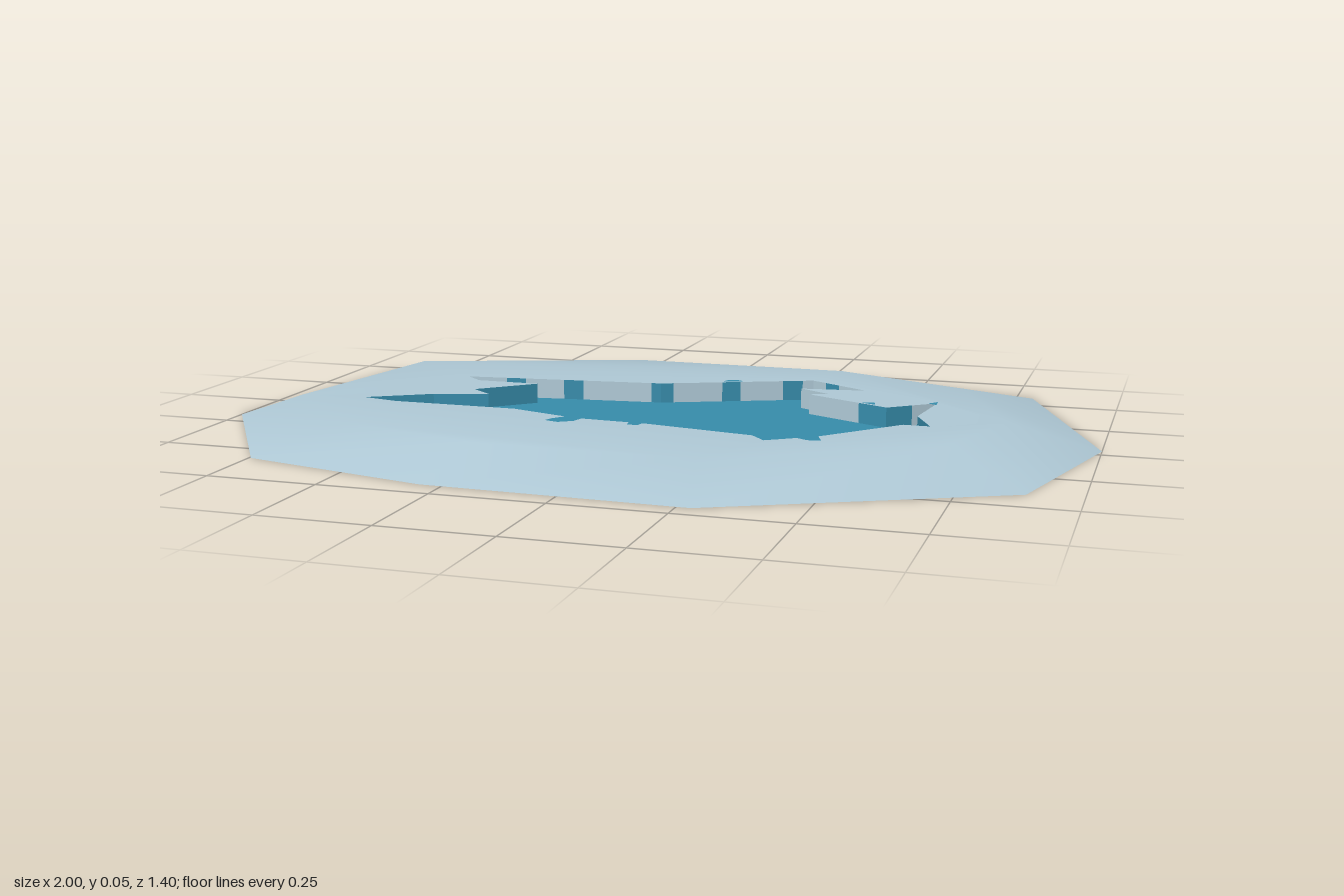
import * as THREE from 'three';

const TOP = 0.05, FLOOR = 0.002;

// Plan outlines as [x, z]
const outer = [[-1, 0.18], [-0.9, -0.445], [-0.27, -0.7], [0.365, -0.705], [0.79, -0.585],
  [1, -0.035], [0.885, 0.4], [0.28, 0.7], [-0.3, 0.685], [-0.745, 0.58]];
const rim = [[-0.855, 0.14], [-0.77, -0.36], [-0.23, -0.55], [0.31, -0.55], [0.64, -0.4],
  [0.79, -0.05], [0.7, 0.23], [0.23, 0.5], [-0.25, 0.5], [-0.62, 0.4]];

// Jagged hole: each corner [x, z], then the water-coloured spans of the wall that starts there
const hole = [
  [-0.7, 0.125], [-0.61, 0.145], [-0.31, 0.145, [0.75, 1]], [-0.14, 0.2, [0.8, 1]],
  [0.03, 0.21], [0.285, 0.255], [0.32, 0.295, [0.7, 1]], [0.42, 0.225], [0.575, 0.05, [0, 1]],
  [0.635, 0.05, [0, 1]], [0.59, -0.05, [0, 0.85]], [0.61, -0.21, [0.5, 1]], [0.505, -0.125, [0, 0.35]],
  [0.3, -0.225], [0.34, -0.245], [0.265, -0.29, [0, 0.4]], [0.42, -0.31, [0.5, 0.75]],
  [0.27, -0.4, [0.07, 0.2], [0.48, 0.6], [0.92, 1]], [-0.08, -0.25, [0, 0.05], [0.4, 0.5], [0.7, 0.8]],
  [-0.57, -0.195], [-0.525, -0.155], [-0.37, -0.155, [0, 1]], [-0.49, -0.045, [0, 1]],
  [-0.435, 0, [0, 1]], [-0.56, 0.04, [0, 1]],
];

// Floor corners left ice-coloured at the tips of the cracks
const iceTips = [
  [[0.335, -0.302], [0.42, -0.31], [0.345, -0.355]],
  [[0.3, -0.225], [0.34, -0.245], [0.29, -0.275]],
  [[-0.525, -0.155], [-0.37, -0.155], [-0.48, -0.178]],
];

// Small water splashes on the ice beside the hole
const splashes = [
  [[-0.16, 0.195], [-0.12, 0.205], [-0.13, 0.24], [-0.16, 0.26], [-0.195, 0.25], [-0.185, 0.225]],
  [[-0.01, 0.205], [0.025, 0.208], [0.02, 0.24], [-0.005, 0.238]],
  [[0.375, 0.255], [0.42, 0.22], [0.44, 0.27], [0.41, 0.275]],
  [[0.06, -0.308], [0.11, -0.33], [0.09, -0.342], [0.07, -0.335]],
  [[0.44, -0.155], [0.475, -0.14], [0.47, -0.165]],
  [[0.59, -0.19], [0.61, -0.215], [0.612, -0.18]],
];

const at = (points, y) => points.map(([x, z]) => [x, y, z]);

// Triangles turned to face upward
function surface(points, triangles) {
  const index = triangles.flatMap(([a, b, c]) => {
    const [p, q, r] = [points[a], points[b], points[c]];
    const up = (q[2] - p[2]) * (r[0] - p[0]) - (q[0] - p[0]) * (r[2] - p[2]);
    return up > 0 ? [a, b, c] : [a, c, b];
  });
  const geo = new THREE.BufferGeometry();
  geo.setAttribute('position', new THREE.Float32BufferAttribute(points.flat(), 3));
  geo.setIndex(index);
  geo.computeVertexNormals();
  return geo;
}

const vec = (points) => points.map(([x, z]) => new THREE.Vector2(x, z));

function plate(points, y) {
  return surface(at(points, y), THREE.ShapeUtils.triangulateShape(vec(points), []));
}

// Smooth shell: sloping border strip plus flat top with the hole
function shellGeometry() {
  const n = outer.length;
  const tris = THREE.ShapeUtils.triangulateShape(vec(rim), [vec(hole)]).map((t) => t.map((i) => i + n));
  for (let i = 0; i < n; i++) {
    const j = (i + 1) % n;
    tris.push([i, j, n + i], [j, n + j, n + i]);
  }
  return surface([...at(outer, 0), ...at(rim, TOP), ...at(hole, TOP)], tris);
}

// Flat vertical panels between two plan points, facing into the hole
function wallGeometry(panels) {
  const pos = panels.flatMap(([[ax, az], [bx, bz]]) => [
    ax, 0, az, ax, TOP, az, bx, TOP, bz,
    ax, 0, az, bx, TOP, bz, bx, 0, bz,
  ]);
  const geo = new THREE.BufferGeometry();
  geo.setAttribute('position', new THREE.Float32BufferAttribute(pos, 3));
  geo.computeVertexNormals();
  return geo;
}

export function createModel() {
  const group = new THREE.Group();
  const material = (name, color) => {
    const m = new THREE.MeshStandardMaterial({ color, side: THREE.DoubleSide });
    m.name = name;
    return m;
  };
  const ice = material('ice', 0xb0cad7);
  const water = material('water', 0x378dac);
  const add = (name, geo, mat) => {
    const mesh = new THREE.Mesh(geo, mat);
    mesh.name = name;
    group.add(mesh);
  };

  add('iceSheet', shellGeometry(), ice);

  // Hole walls, split into ice and wet panels
  const icePanels = [], wetPanels = [];
  hole.forEach(([ax, az, ...spans], i) => {
    const [bx, bz] = hole[(i + 1) % hole.length];
    const point = (t) => [ax + (bx - ax) * t, az + (bz - az) * t];
    let from = 0;
    for (const [s, e] of spans) {
      if (s > from) icePanels.push([point(from), point(s)]);
      wetPanels.push([point(s), point(e)]);
      from = e;
    }
    if (from < 1) icePanels.push([point(from), point(1)]);
  });
  add('iceWalls', wallGeometry(icePanels), ice);
  add('wetWalls', wallGeometry(wetPanels), water);

  // Water at the bottom of the hole
  add('waterSurface', plate(hole, FLOOR), water);
  iceTips.forEach((tip) => add('iceTip', plate(tip, FLOOR + 0.003), ice));
  splashes.forEach((s) => add('splash', plate(s, TOP + 0.002), water));

  return group;
}
